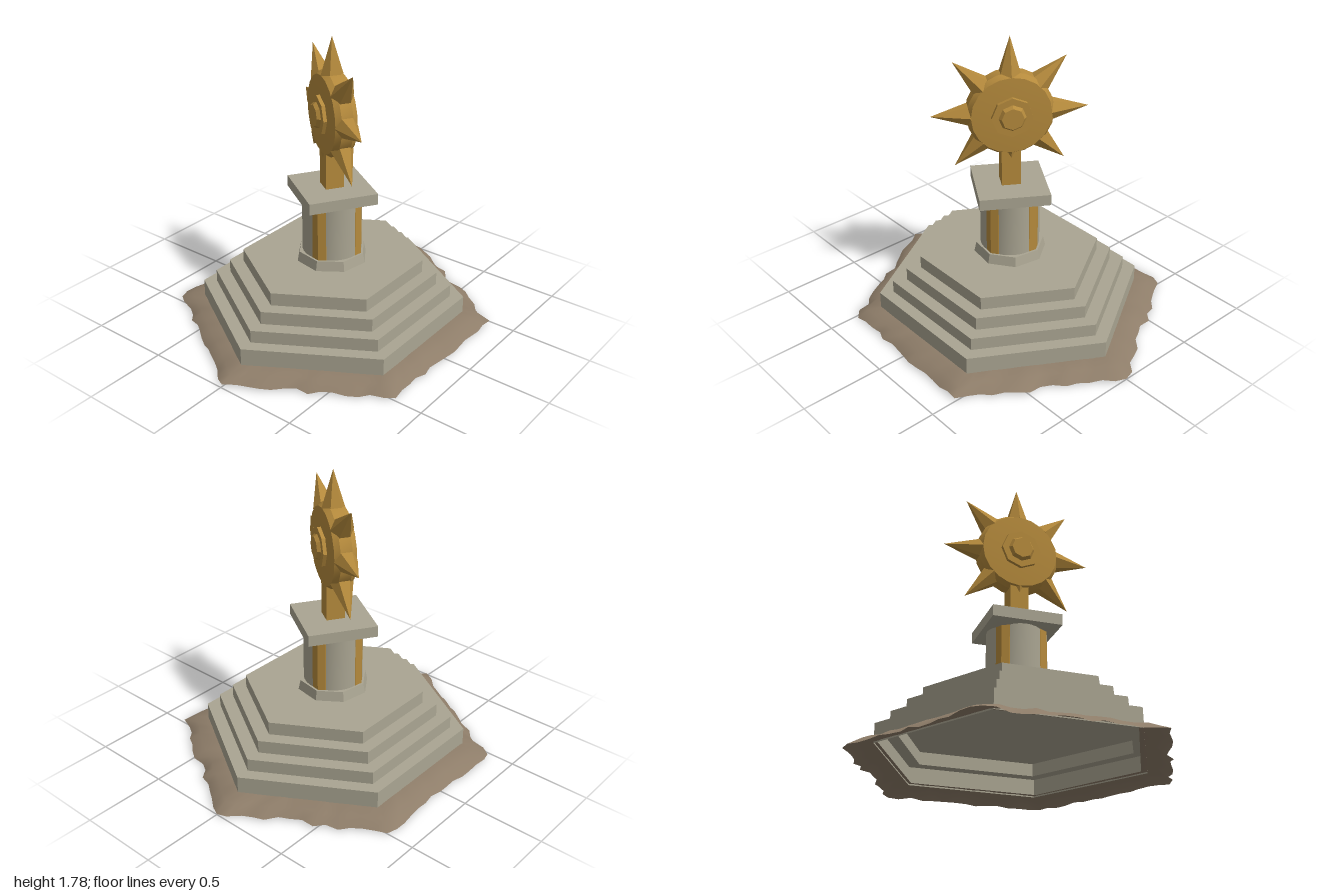
import * as THREE from 'three';
import { toCreasedNormals } from 'three/addons/utils/BufferGeometryUtils.js';

export function createModel() {
  const model = new THREE.Group();
  model.name = 'sunMonument';

  const stone = new THREE.MeshStandardMaterial({ name: 'stone', color: 0xaaa592, side: THREE.DoubleSide });
  const gold = new THREE.MeshStandardMaterial({ name: 'gold', color: 0xb58a3c });
  const earth = new THREE.MeshStandardMaterial({ name: 'earth', color: 0x8e7d69, side: THREE.DoubleSide });

  const add = (name, geometry, material, parent = model) => {
    const mesh = new THREE.Mesh(toCreasedNormals(geometry, 0.5), material);
    mesh.name = name;
    parent.add(mesh);
    return mesh;
  };
  // Upright prism or frustum between two heights, one corner turned to the given angle
  const prism = (rTop, rBottom, y0, y1, sides, turn = 0) =>
    new THREE.CylinderGeometry(rTop, rBottom, y1 - y0, sides).rotateY(turn).translate(0, (y0 + y1) / 2, 0);
  const lathe = (points, sides) =>
    new THREE.LatheGeometry(points.map(([r, y]) => new THREE.Vector2(r, y)), sides);

  // Ragged earth skirt around the foot
  let seed = 7;
  const random = () => {
    seed = (seed * 16807) % 2147483647;
    return seed / 2147483647 - 0.5;
  };
  const corners = [[0, 0.99], [0.82, 0.48], [0.84, -0.49], [0, -1], [-0.83, -0.5], [-0.84, 0.47]];
  const perSide = 14, count = 6 * perSide;
  const positions = [], indices = [];
  for (let i = 0; i < count; i++) {
    const side = Math.floor(i / perSide), t = (i % perSide) / perSide;
    const a = corners[side], b = corners[(side + 1) % 6];
    const x = a[0] + (b[0] - a[0]) * t, z = a[1] + (b[1] - a[1]) * t;
    const rough = t === 0 ? 0 : random() * 0.05;
    const rows = [[0.81, 0.07], [0.93 + rough * 0.4, 0.06 + random() * 0.012], [1 + rough, 0.018 + random() * 0.016]];
    for (const [s, y] of rows) positions.push(x * s, y, z * s);
    const j = (i + 1) % count;
    for (let r = 0; r < 2; r++) {
      const p = i * 3 + r, q = j * 3 + r;
      indices.push(p, p + 1, q, q, p + 1, q + 1);
    }
  }
  const skirt = new THREE.BufferGeometry();
  skirt.setAttribute('position', new THREE.Float32BufferAttribute(positions, 3));
  skirt.setIndex(indices);
  const skirtMesh = new THREE.Mesh(toCreasedNormals(skirt, 1), earth);
  skirtMesh.name = 'earthSkirt';
  model.add(skirtMesh);

  // Four hexagonal steps; the lowest is an open ring beneath
  const radii = [0.83, 0.745, 0.655, 0.565], heights = [0.06, 0.172, 0.25, 0.33, 0.41];
  radii.forEach((r, i) => {
    const inner = i === 0 ? radii[1] : 0;
    add('step' + (i + 1), lathe([[r, heights[i]], [r, heights[i + 1]], [inner, heights[i + 1]]], 6)
      .scale(0.96, 1, 1), stone);
  });

  // Pedestal: octagonal foot, round shaft and gold corner rods
  const turn = 0.22;
  add('pedestalFoot', prism(0.205, 0.218, 0.41, 0.47, 8, turn), stone);
  add('pedestalShaft', prism(0.178, 0.178, 0.46, 0.81, 32), stone);
  for (let i = 0; i < 4; i++) {
    const rod = prism(0.062, 0.062, 0.47, 0.81, 8).translate(0, 0, 0.13);
    add('cornerRod', rod.rotateY(turn + i * Math.PI / 2), gold);
  }

  // Square cap with a bevelled underside, and the post on it
  add('capUnderside', prism(0.295, 0.2, 0.795, 0.817, 4, turn), stone);
  add('cap', prism(0.295, 0.295, 0.815, 0.883, 4, turn), stone);
  add('post', prism(0.079, 0.079, 0.88, 1.13, 4, turn), gold);

  // Sun disc with stepped bosses on both faces
  const sun = new THREE.Group();
  sun.name = 'sun';
  sun.position.y = 1.335;
  sun.rotation.y = -0.55;
  model.add(sun);
  const half = [[0.252, 0.035], [0.232, 0.066], [0, 0.08]];
  const rim = [...half.map(([r, y]) => [r, -y]).reverse(), ...half];
  add('sunDisc', lathe(rim, 20).rotateX(Math.PI / 2), gold, sun);
  add('outerBoss', new THREE.CylinderGeometry(0.12, 0.12, 0.19, 8).rotateX(Math.PI / 2), gold, sun);
  add('innerBoss', new THREE.CylinderGeometry(0.065, 0.08, 0.02, 8).translate(0, 0.105, 0)
    .rotateX(Math.PI / 2), gold, sun);
  add('innerBoss', new THREE.CylinderGeometry(0.065, 0.08, 0.02, 8).translate(0, 0.105, 0)
    .rotateX(-Math.PI / 2), gold, sun);

  // Eight hexagonal rays
  for (let i = 0; i < 8; i++) {
    const ray = new THREE.ConeGeometry(0.069, 0.225, 6).translate(0, 0.3425, 0);
    add('ray', ray.rotateZ(i * Math.PI / 4), gold, sun);
  }
  return model;
}
